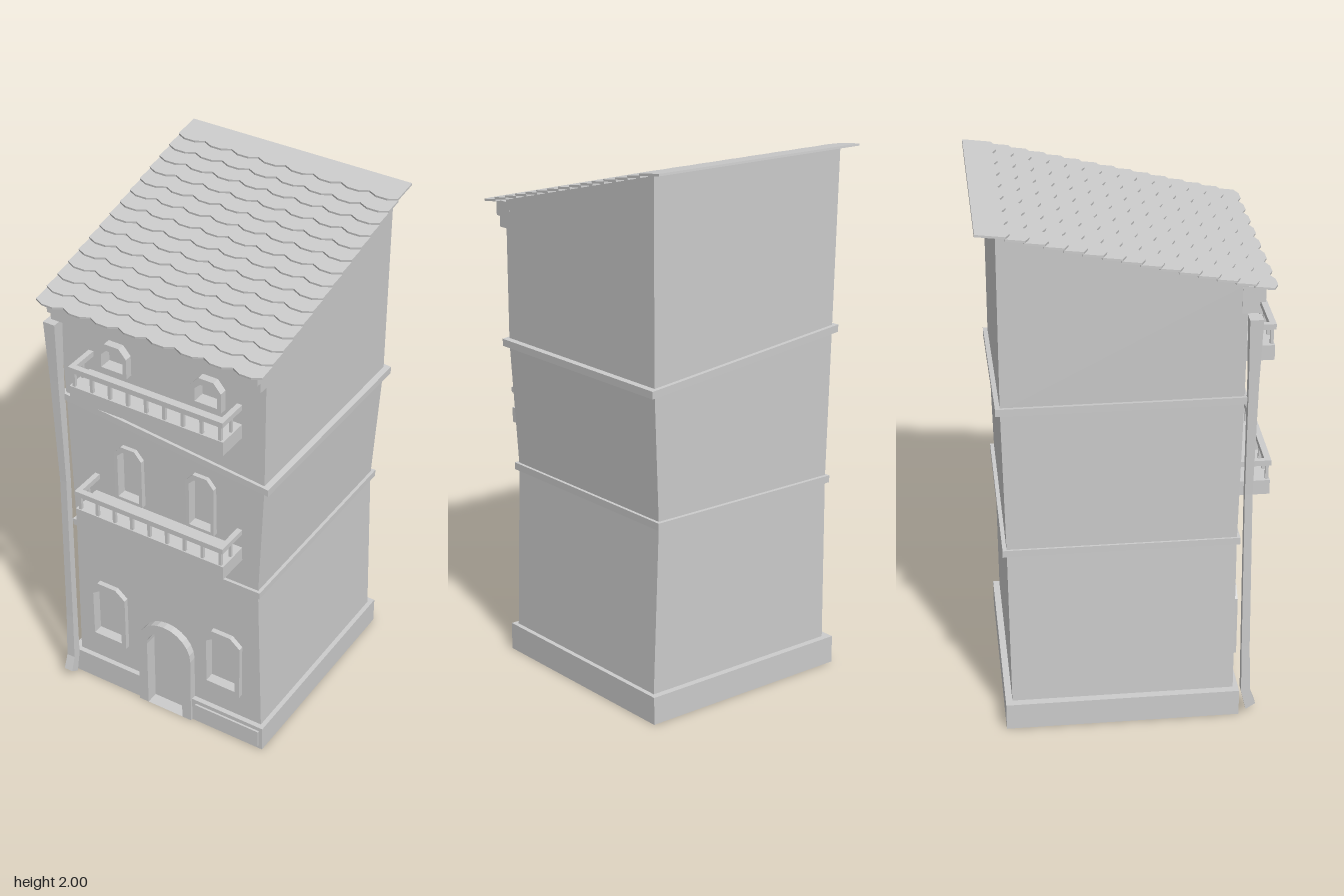
import * as THREE from 'three';
import { mergeGeometries } from 'three/addons/utils/BufferGeometryUtils.js';

const mat = new THREE.MeshStandardMaterial({ color: 0xcccccc, flatShading: true });
const sheet = new THREE.MeshStandardMaterial({ color: 0xcccccc, flatShading: true, side: THREE.DoubleSide });

const shapeOf = (pts) => new THREE.Shape(pts.map(([x, y]) => new THREE.Vector2(x, y)));
const extrude = (shape, depth) => new THREE.ExtrudeGeometry(shape, { depth, bevelEnabled: false, curveSegments: 8 });

function add(parent, name, geometry, material = mat) {
  const mesh = new THREE.Mesh(geometry, material);
  mesh.name = name;
  parent.add(mesh);
  return mesh;
}

// Box given by its limits
function box(parent, name, x0, x1, y0, y1, z0, z1) {
  const g = new THREE.BoxGeometry(x1 - x0, y1 - y0, z1 - z0);
  g.translate((x0 + x1) / 2, (y0 + y1) / 2, (z0 + z1) / 2);
  return add(parent, name, g);
}

// Faces through rings of four corners
function loft(rings, capped) {
  const p = [];
  const quad = (a, b, c, d) => p.push(...a, ...b, ...c, ...a, ...c, ...d);
  for (let i = 0; i + 1 < rings.length; i++)
    for (let k = 0; k < 4; k++) {
      const n = (k + 1) % 4;
      quad(rings[i][k], rings[i][n], rings[i + 1][n], rings[i + 1][k]);
    }
  if (capped) { quad(...rings[0]); quad(...rings[rings.length - 1]); }
  const g = new THREE.BufferGeometry();
  g.setAttribute('position', new THREE.Float32BufferAttribute(p, 3));
  g.computeVertexNormals();
  return g;
}

// Window outline with a chamfered head
const windowOutline = (cx, hw, y0, y1, s) => [
  [cx - hw, y0], [cx + hw, y0], [cx + hw, y1 - s], [cx + hw * 0.5, y1], [cx - hw * 0.5, y1], [cx - hw, y1 - s]];

// Round-headed door outline
function doorOutline(r, y0) {
  const pts = [[r, y0]];
  for (let i = 0; i <= 12; i++) {
    const a = (Math.PI * i) / 12;
    pts.push([r * Math.cos(a), 0.3 + r * Math.sin(a)]);
  }
  pts.push([-r, y0]);
  return pts;
}

// Frame standing proud of the wall, with a recessed pane
function opening(parent, name, outer, inner, wallZ, proud) {
  const g = new THREE.Group();
  g.name = name;
  const s = shapeOf(outer);
  s.holes.push(shapeOf(inner));
  add(g, name + 'Frame', extrude(s, proud + 0.03)).position.z = wallZ - 0.03;
  add(g, name + 'Pane', new THREE.ShapeGeometry(shapeOf(inner)), sheet).position.z = wallZ - 0.02;
  parent.add(g);
}

// One storey: pierced front and three plain walls, corners in order FL, FR, BR, BL
function storey(parent, name, low, high, holes, notch = []) {
  const g = new THREE.Group();
  g.name = name;
  const s = shapeOf([low[0], ...notch, low[1], high[1], high[0]]);
  holes.forEach((h) => s.holes.push(shapeOf(h)));
  const front = new THREE.ShapeGeometry(s);
  const pos = front.attributes.position;
  for (let i = 0; i < pos.count; i++) {
    const t = (pos.getY(i) - low[0][1]) / (high[0][1] - low[0][1]);
    pos.setZ(i, THREE.MathUtils.lerp(low[0][2], high[0][2], Math.min(1, Math.max(0, t))));
  }
  add(g, name + 'Front', front, sheet);
  const walls = loft([low, high], false);
  // the first quad would be the front, already made above
  const rest = new THREE.BufferGeometry();
  rest.setAttribute('position', new THREE.Float32BufferAttribute(walls.attributes.position.array.slice(18), 3));
  rest.computeVertexNormals();
  add(g, name + 'Walls', rest, sheet);
  parent.add(g);
}

// Hollow moulding around the house, sheared when sloping
function band(parent, name, x0, x1, z0, z1, y, h, slope) {
  const t = 0.03;
  const rect = (d) => shapeOf([[x0 + d, -z1 + d], [x1 - d, -z1 + d], [x1 - d, -z0 - d], [x0 + d, -z0 - d]]);
  const s = rect(0);
  s.holes.push(rect(t));
  const g = extrude(s, h).rotateX(-Math.PI / 2);
  const p = g.attributes.position;
  for (let i = 0; i < p.count; i++) p.setY(i, p.getY(i) + y + slope * (p.getX(i) - x0));
  g.computeVertexNormals();
  add(parent, name, g);
}

function balcony(parent, name, y, wallZ) {
  const g = new THREE.Group();
  g.name = name;
  const x0 = -0.303, x1 = 0.326, z1 = 0.522;
  box(g, 'balconySlab', x0, x1, y, y + 0.057, wallZ - 0.01, z1);
  box(g, 'frontRail', x0, x1, y + 0.117, y + 0.138, z1 - 0.02, z1 + 0.003);
  for (const x of [x0, x1 - 0.02]) {
    box(g, 'sideRail', x, x + 0.02, y + 0.117, y + 0.138, wallZ - 0.01, z1 - 0.02);
    box(g, 'sideBaluster', x + 0.005, x + 0.015, y + 0.05, y + 0.12, 0.45, 0.46);
  }
  for (let i = 0; i < 9; i++) {
    const x = -0.287 + i * 0.0747;
    box(g, 'baluster', x - 0.006, x + 0.006, y + 0.05, y + 0.12, z1 - 0.016, z1 - 0.004);
  }
  // Curved brackets
  const s = new THREE.Shape();
  s.moveTo(-0.01, 0);
  s.lineTo(0.085, 0);
  s.lineTo(0.085, -0.012);
  s.quadraticCurveTo(0.015, -0.02, 0, -0.095);
  s.lineTo(-0.01, -0.095);
  for (const x of [-0.187, 0.012, 0.212]) {
    const b = add(g, 'bracket', extrude(s, 0.052).rotateY(-Math.PI / 2));
    b.position.set(x + 0.026, y, wallZ);
  }
  parent.add(g);
}

function roof(parent) {
  const w = 0.1137, pitch = 0.0647, thick = 0.008, slope = 0.25;
  const tiles = [];
  for (let r = 0; r < 15; r++) {
    const len = r === 14 ? 0.12 : 0.085;
    const tile = extrude(shapeOf([[-w / 2, 0.016], [-w * 0.2, 0], [w * 0.2, 0], [w / 2, 0.016], [w / 2, len], [-w / 2, len]]), thick);
    tile.rotateX(-Math.PI / 2).rotateX(Math.atan(slope - thick / pitch));
    for (let c = 0; c < 8; c++)
      tiles.push(tile.clone().translate((c - 3.5) * w, 1.751 + slope * r * pitch, 0.5 - r * pitch));
  }
  add(parent, 'roofTiles', mergeGeometries(tiles));
}

export function createModel() {
  const house = new THREE.Group();
  house.name = 'house';

  // Plinth, broken by the doorway
  const plinth = new THREE.Group();
  plinth.name = 'plinth';
  box(plinth, 'plinthFrontRight', -0.44, -0.1, 0, 0.105, 0.375, 0.41);
  box(plinth, 'plinthFrontLeft', 0.1, 0.43, 0, 0.105, 0.375, 0.41);
  box(plinth, 'plinthBack', -0.44, 0.43, 0, 0.105, -0.465, -0.43);
  box(plinth, 'plinthRight', -0.44, -0.4, 0, 0.105, -0.43, 0.375);
  box(plinth, 'plinthLeft', 0.39, 0.43, 0, 0.105, -0.43, 0.375);
  box(plinth, 'plinthPanel', 0.135, 0.415, 0.015, 0.088, 0.4, 0.418);
  house.add(plinth);

  // Windows: storey, centre, outer and inner half width, sill, head, wall z, projection
  const holes = [[], [], []];
  const windows = [
    [0, -0.265, 0.0825, 0.0625, 0.215, 0.49, 0.39, 0.02], [0, 0.245, 0.0825, 0.0625, 0.215, 0.49, 0.39, 0.02],
    [1, -0.1425, 0.058, 0.045, 0.95, 1.19, 0.395, 0.02], [1, 0.162, 0.058, 0.045, 0.95, 1.19, 0.395, 0.02],
    [2, -0.185, 0.06, 0.045, 1.51, 1.625, 0.4, 0.03], [2, 0.2, 0.06, 0.045, 1.51, 1.625, 0.4, 0.03]];
  for (const [level, cx, ho, hi, y0, y1, z, proud] of windows) {
    const rim = ho - hi;
    const inner = windowOutline(cx, hi, y0 + rim, y1 - rim * 1.7, 0.022);
    holes[level].push(windowOutline(cx, hi + 0.003, y0 + rim - 0.003, y1 - rim * 1.7 + 0.003, 0.022));
    opening(house, 'window', windowOutline(cx, ho, y0, y1, 0.035), inner, z, proud);
  }
  opening(house, 'door', doorOutline(0.1175, 0), doorOutline(0.078, 0), 0.39, 0.03);

  // Three leaning storeys
  const ring = (x0, x1, yl, yr, zf, zb) => [[x0, yl, zf], [x1, yr, zf], [x1, yr, zb], [x0, yl, zb]];
  storey(house, 'groundFloor', ring(-0.41, 0.412, 0.1, 0.1, 0.39, -0.44), ring(-0.402, 0.392, 0.745, 0.745, 0.39, -0.445),
    holes[0], doorOutline(0.09, 0.1).reverse());
  storey(house, 'middleFloor', ring(-0.402, 0.392, 0.745, 0.745, 0.39, -0.445), ring(-0.41, 0.418, 1.32, 1.23, 0.4, -0.455), holes[1]);
  const eaves = [[-0.43, 1.772, 0.4], [0.42, 1.772, 0.4], [0.42, 1.988, -0.455], [-0.43, 1.988, -0.455]];
  storey(house, 'topFloor', ring(-0.41, 0.418, 1.32, 1.23, 0.4, -0.455), eaves, holes[2]);

  band(house, 'lowerBand', -0.41, 0.405, -0.46, 0.402, 0.73, 0.027, 0);
  band(house, 'slopingBand', -0.425, 0.44, -0.472, 0.412, 1.308, 0.027, -0.105);

  // Stepped cornice under the eaves
  box(house, 'lowerCornice', -0.43, 0.42, 1.66, 1.7, 0.38, 0.44);
  box(house, 'upperCornice', -0.43, 0.42, 1.7, 1.758, 0.38, 0.46);

  balcony(house, 'lowerBalcony', 0.873, 0.39);
  balcony(house, 'upperBalcony', 1.416, 0.4);

  // Drainpipe with a flared head and a kicked-out foot: x, y, z, half width
  const path = [[-0.433, 1.645, 0.427, 0.024], [-0.43, 1.4, 0.425, 0.018], [-0.42, 0.95, 0.422, 0.014],
    [-0.419, 0.3, 0.43, 0.015], [-0.419, 0.1, 0.435, 0.017], [-0.419, 0.03, 0.455, 0.018]];
  add(house, 'drainpipe', loft(path.map(([x, y, z, h], i) => {
    const tilt = i === 5 ? 0.012 : 0;
    return [[x - h, y + tilt, z + h], [x + h, y + tilt, z + h], [x + h, y - tilt, z - h], [x - h, y - tilt, z - h]];
  }), true), sheet);

  roof(house);
  return house;
}
